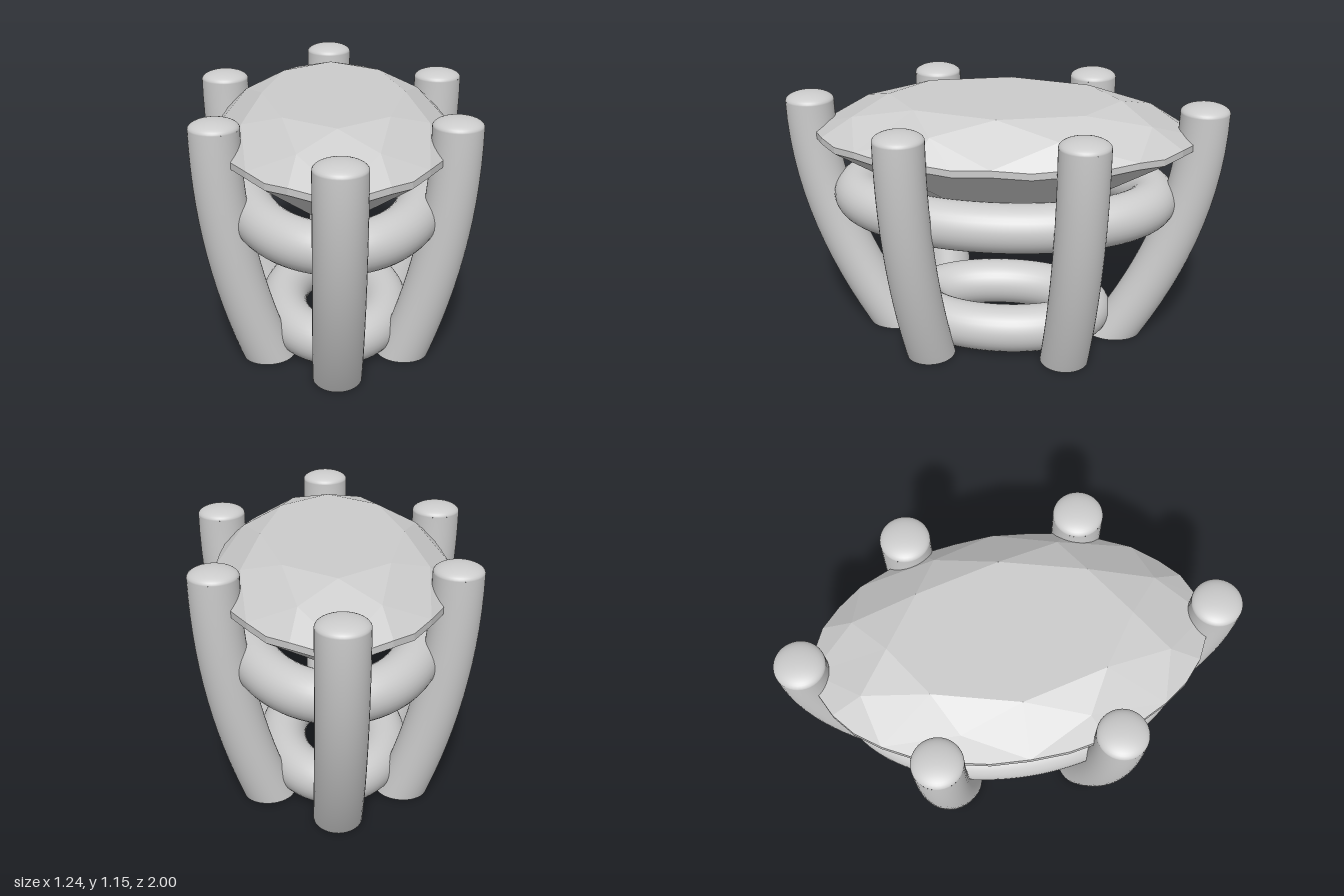
import * as THREE from 'three';

const R = 0.11;            // wire radius of prongs and rails
const TOP = 1.11;          // height where the prong tips begin
const smooth = () => new THREE.MeshStandardMaterial({ color: 0xcccccc });

function add(group, name, geometry, material = smooth()) {
  const mesh = new THREE.Mesh(geometry, material);
  mesh.name = name;
  group.add(mesh);
  return mesh;
}

// Prong: curved wire cut flat at the ground, with a low domed tip
function makeProng(foot, tip) {
  const prong = new THREE.Group();
  prong.name = 'prong';
  const curve = new THREE.QuadraticBezierCurve3(
    new THREE.Vector3(foot[0], 0, foot[1]),
    new THREE.Vector3(tip[0], TOP / 2, tip[1]),
    new THREE.Vector3(tip[0], TOP, tip[1]));
  const sides = 40;
  const wire = new THREE.TubeGeometry(curve, 14, R, sides);
  const p = wire.attributes.position;
  const dir = curve.getTangent(0);
  const rim = [];
  // slide the first ring along the wire onto the ground
  for (let i = 0; i <= sides; i++) {
    const v = new THREE.Vector3().fromBufferAttribute(p, i);
    v.addScaledVector(dir, -v.y / dir.y);
    p.setXYZ(i, v.x, v.y, v.z);
    if (i < sides) rim.push(new THREE.Vector2(v.x, v.z));
  }
  add(prong, 'prongWire', wire);
  add(prong, 'prongFoot', new THREE.ShapeGeometry(new THREE.Shape(rim)).rotateX(Math.PI / 2));
  const dome = new THREE.SphereGeometry(R, sides, 10, 0, Math.PI * 2, 0, Math.PI / 2);
  add(prong, 'prongTip', dome.scale(1, 0.04 / R, 1)).position.set(tip[0], TOP, tip[1]);
  return prong;
}

// Oval rail of round wire
function makeRail(rx, rz) {
  const points = [];
  for (let i = 0; i < 48; i++) {
    const a = (i / 48) * Math.PI * 2;
    points.push(new THREE.Vector3(rx * Math.sin(a), 0, rz * Math.cos(a)));
  }
  return new THREE.TubeGeometry(new THREE.CatmullRomCurve3(points, true), 96, R, 32, true);
}

// Faceted oval stone: table, stars, kites, girdle and pavilion
function makeStone() {
  const out = [];
  const tri = (...corners) => corners.forEach((c) => out.push(...c));
  // point at step j of 32 around the oval, at fraction k of its radius
  const at = (j, k, y) => {
    const a = (j / 32) * Math.PI * 2;
    return [0.525 * k * Math.sin(a), y, 0.856 * k * Math.cos(a)];
  };
  const table = (i) => at(4 * i, 0.61, 1.15);
  const mid = (i) => at(4 * i + 2, 0.83, 1.09);
  const upper = (j) => at(j, 1, j % 2 ? 0.99 : 1.0);
  const lower = (j) => at(j, 1, j % 2 ? 0.96 : 0.97);
  const inner = (i) => at(4 * i + 2, 0.4, 0.672);
  const culet = [0, 0.5, 0];
  for (let i = 0; i < 8; i++) {
    const g = 4 * i;
    tri([0, 1.15, 0], table(i), table(i + 1));
    tri(table(i), mid(i), table(i + 1));
    tri(table(i), upper(g), mid(i));
    tri(table(i), mid(i - 1), upper(g));
    tri(culet, inner(i), lower(g));
    tri(culet, lower(g), inner(i - 1));
    for (let j = g; j < g + 4; j++) {
      tri(mid(i), upper(j), upper(j + 1));
      tri(lower(j), lower(j + 1), upper(j + 1));
      tri(lower(j), upper(j + 1), upper(j));
      tri(inner(i), lower(j + 1), lower(j));
    }
  }
  const geometry = new THREE.BufferGeometry();
  geometry.setAttribute('position', new THREE.Float32BufferAttribute(out, 3));
  geometry.computeVertexNormals();
  return geometry;
}

export function createModel() {
  const model = new THREE.Group();
  model.name = 'stoneSetting';

  add(model, 'stone', makeStone(), new THREE.MeshStandardMaterial({ color: 0xcccccc, flatShading: true }));
  add(model, 'upperRail', makeRail(0.40, 0.68)).position.y = 0.69;
  add(model, 'lowerRail', makeRail(0.24, 0.40)).position.y = R;

  // One prong at each end and two on each side
  for (const sz of [1, -1]) {
    model.add(makeProng([0, sz * 0.527], [0, sz * 0.89]));
    for (const sx of [1, -1]) {
      model.add(makeProng([sx * 0.305, sz * 0.308], [sx * 0.51, sz * 0.382]));
    }
  }
  return model;
}
